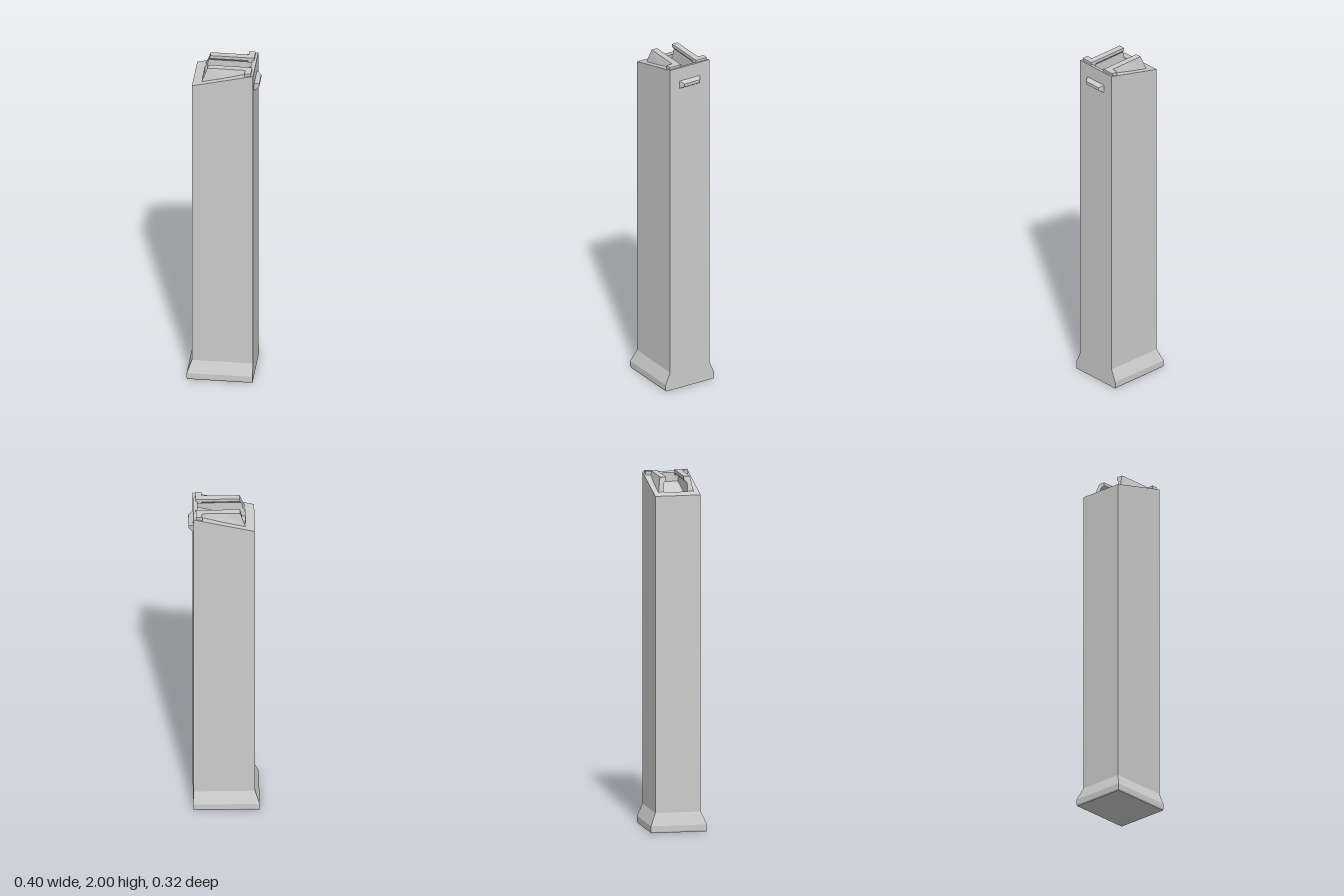
import * as THREE from 'three';

const material = new THREE.MeshStandardMaterial({ color: 0xcccccc, flatShading: true });

// Skin a list of equal-length rings and close both ends with fans.
function loft(name, rings) {
  const n = rings[0].length;
  const last = (rings.length - 1) * n;
  const index = [];
  for (let r = 0; r < rings.length - 1; r++) {
    for (let i = 0; i < n; i++) {
      const a = r * n + i, b = r * n + (i + 1) % n;
      index.push(a, b, b + n, a, b + n, a + n);
    }
  }
  for (let i = 1; i < n - 1; i++) {
    index.push(0, i + 1, i, last, last + i, last + i + 1);
  }
  const indexed = new THREE.BufferGeometry();
  indexed.setAttribute('position', new THREE.Float32BufferAttribute(rings.flat(2), 3));
  indexed.setIndex(index);
  const geometry = indexed.toNonIndexed();
  geometry.computeVertexNormals();
  const mesh = new THREE.Mesh(geometry, material);
  mesh.name = name;
  return mesh;
}

// Height of the sloping top face.
const slope = (x) => 1.905 + 0.247 * (x + 0.172);

// Rectangular ring, y given as a function of x.
const rect = (x0, x1, z, y) =>
  [[x0, z], [x1, z], [x1, -z], [x0, -z]].map(([x, zz]) => [x, y(x), zz]);

export function createModel() {
  const model = new THREE.Group();
  const R = 0.172;
  const depth = 0.05;

  // Long casing with flared foot, sloping top and a recess in it
  model.add(loft('casing', [
    rect(-0.195, R, 0.157, () => 0),
    rect(-0.198, R, 0.16, () => 0.008),
    rect(-0.198, R, 0.16, () => 0.04),
    rect(-R, R, 0.13, () => 0.11),
    rect(-R, R, 0.13, slope),
    rect(-0.12, 0.147, 0.068, slope),
    rect(-0.12, 0.147, 0.068, (x) => slope(x) - depth),
  ]));

  // Feed lips: section leans inward and overhangs the recess
  const lipSection = (side, zBase, xBase, xMid = xBase, xTop = xBase) => [
    [xMid, 1.963, 0.068],
    [xTop, 1.982, 0.05],
    [xTop, 2, 0.05],
    [xTop, 2, 0.086],
    [xBase, slope(xBase), zBase],
    [xBase, slope(xBase) - depth, 0.068],
  ].map(([x, y, z]) => [x, y, z * side]);

  for (const side of [1, -1]) {
    const sections = [
      lipSection(side, 0.1, -0.12, -0.1, -0.09),
      lipSection(side, 0.1, 0),
      lipSection(side, 0.092, 0.125),
    ];
    if (side < 0) sections.reverse();
    const label = side > 0 ? 'front' : 'back';
    model.add(loft(label + 'FeedLip', sections));

    // Wider block at the high end of each lip
    const block = new THREE.Mesh(new THREE.BoxGeometry(0.035, 0.03, 0.072), material);
    block.name = label + 'LipBlock';
    block.position.set(0.1405, 1.985, side * 0.086);
    model.add(block);
  }

  // Tapered catch on the side
  const catchRing = (x, y0, y1, z) => [[x, y0, z], [x, y0, -z], [x, y1, -z], [x, y1, z]];
  model.add(loft('catch', [
    catchRing(R - 0.005, 1.862, 1.908, 0.069),
    catchRing(R, 1.862, 1.908, 0.069),
    catchRing(0.198, 1.878, 1.896, 0.052),
  ]));

  return model;
}
